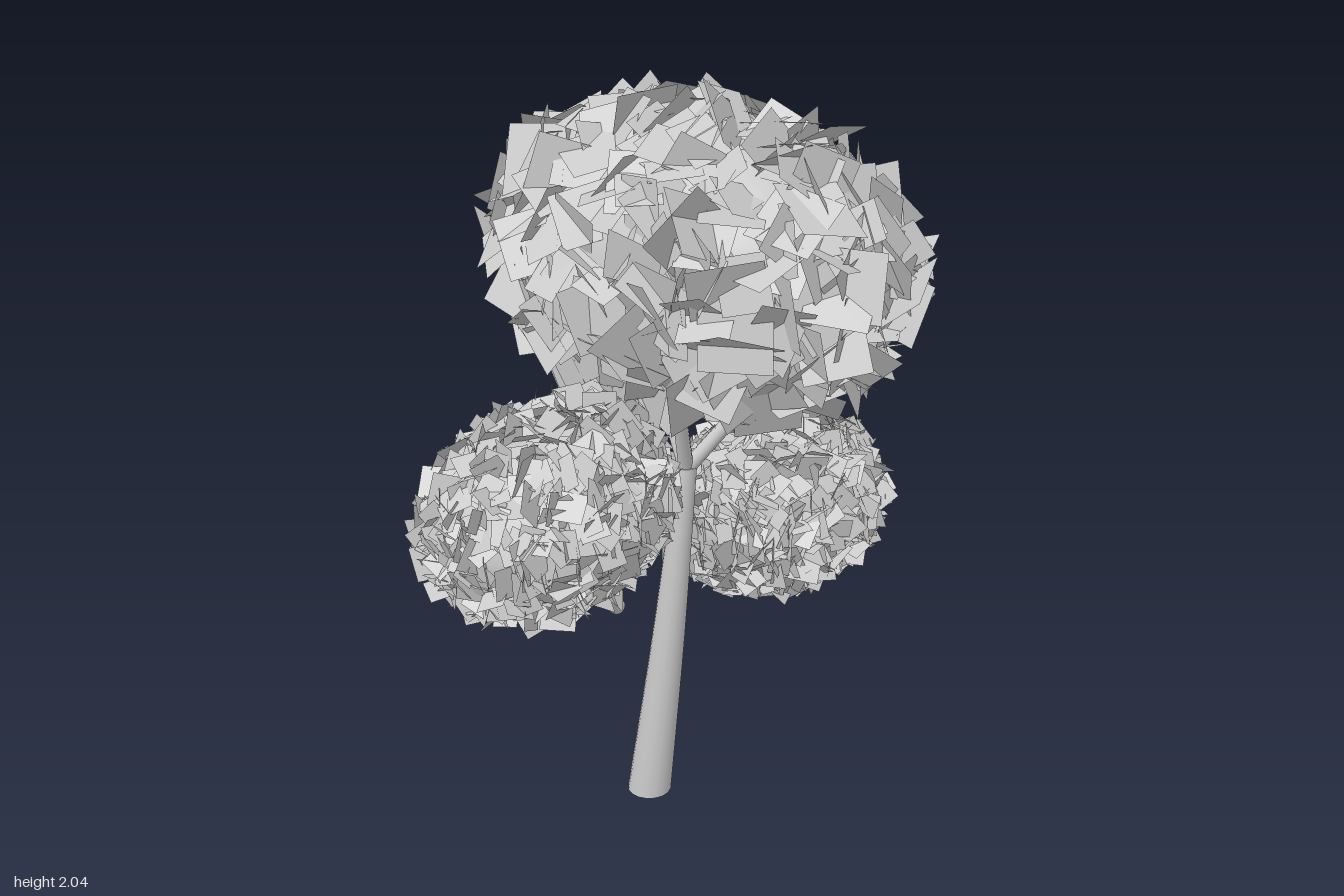
import * as THREE from 'three';
import { mergeGeometries } from 'three/addons/utils/BufferGeometryUtils.js';

const bark = new THREE.MeshStandardMaterial({ color: 0xcccccc });
const leafMaterial = new THREE.MeshStandardMaterial({ color: 0xcccccc, side: THREE.DoubleSide });

// Small seeded generator, 0..1
function seeded(seed) {
  return () => {
    seed = (seed * 1664525 + 1013904223) % 4294967296;
    return seed / 4294967296;
  };
}

// Trunk: a tapered cylinder whose rings slide along a gentle bend
function makeTrunk() {
  const height = 0.99;
  const geometry = new THREE.CylinderGeometry(0.028, 0.06, height, 16, 8);
  geometry.translate(0, height / 2, 0);
  const bend = new THREE.CatmullRomCurve3([
    new THREE.Vector3(-0.06, 0, 0.053),
    new THREE.Vector3(-0.015, 0.5, 0.02),
    new THREE.Vector3(0, height, -0.028),
  ]);
  const p = geometry.attributes.position;
  for (let i = 0; i < p.count; i++) {
    const c = bend.getPoint(THREE.MathUtils.clamp(p.getY(i) / height, 0, 1));
    p.setXYZ(i, p.getX(i) + c.x, p.getY(i), p.getZ(i) + c.z);
  }
  const mesh = new THREE.Mesh(geometry, bark);
  mesh.name = 'trunk';
  return mesh;
}

// Straight tapered branch between two points
function makeBranch(name, from, to, r0, r1) {
  const a = new THREE.Vector3(...from);
  const b = new THREE.Vector3(...to);
  const mesh = new THREE.Mesh(new THREE.CylinderGeometry(r1, r0, a.distanceTo(b), 12), bark);
  mesh.position.copy(a).add(b).multiplyScalar(0.5);
  mesh.quaternion.setFromUnitVectors(new THREE.Vector3(0, 1, 0), b.sub(a).normalize());
  mesh.name = name;
  return mesh;
}

// Foliage: leaf cards spread over an ellipsoid and tipped at random
function makeFoliage({ name, center, radii, rotation, count, size, tilt, seed }) {
  const rand = seeded(seed);
  const spread = () => (rand() + rand() - 1) * tilt;
  const R = new THREE.Vector3(...radii);
  const forward = new THREE.Vector3(0, 0, 1);
  const cards = [];
  for (let i = 0; i < count; i++) {
    // Even spiral over the sphere
    const y = 1 - (2 * (i + 0.5)) / count;
    const angle = i * 2.39996 + rand() * 0.6;
    const ring = Math.sqrt(1 - y * y);
    const dir = new THREE.Vector3(ring * Math.cos(angle), y, ring * Math.sin(angle));
    const normal = dir.clone().divide(R).normalize();
    const position = dir.multiply(R).multiplyScalar(0.9 + 0.1 * rand());
    const q = new THREE.Quaternion().setFromUnitVectors(forward, normal);
    q.multiply(new THREE.Quaternion().setFromEuler(
      new THREE.Euler(spread(), spread(), rand() * Math.PI * 2)));
    const w = size * (0.75 + 0.5 * rand());
    const card = new THREE.PlaneGeometry(w, w * (0.8 + 0.35 * rand()));
    card.applyQuaternion(q).translate(position.x, position.y, position.z);
    cards.push(card);
  }
  const group = new THREE.Group();
  group.name = name;
  const leaves = new THREE.Mesh(mergeGeometries(cards), leafMaterial);
  leaves.name = name + 'Leaves';
  // Solid heart behind the leaves
  const core = new THREE.Mesh(new THREE.SphereGeometry(1, 24, 16), leafMaterial);
  core.scale.copy(R).multiplyScalar(0.86);
  core.name = name + 'Core';
  group.add(leaves, core);
  group.position.set(...center);
  group.rotation.set(...rotation);
  return group;
}

export function createModel() {
  const tree = new THREE.Group();
  tree.name = 'tree';
  tree.add(makeTrunk());

  // Fork at the top of the trunk, plus the low front limb
  const fork = [0, 0.98, -0.028];
  tree.add(
    makeBranch('rearBranch', fork, [0.24, 1.45, -0.32], 0.02, 0.016),
    makeBranch('frontBranch', fork, [0.12, 1.42, 0.12], 0.02, 0.016),
    makeBranch('sideBranch', fork, [-0.22, 1.42, -0.02], 0.02, 0.016),
    makeBranch('lowFrontLimb', [0, 0.65, 0.2], [0.09, 0.93, 0.5], 0.022, 0.018),
  );

  tree.add(
    makeFoliage({
      name: 'crown', center: [-0.005, 1.555, -0.055], radii: [0.61, 0.39, 0.38],
      rotation: [0, 0.14, 0.09], count: 520, size: 0.15, tilt: 1.3, seed: 7,
    }),
    makeFoliage({
      name: 'frontCluster', center: [0.085, 1.05, 0.47], radii: [0.285, 0.235, 0.325],
      rotation: [0.28, 0.12, 0], count: 800, size: 0.07, tilt: 1.7, seed: 21,
    }),
    makeFoliage({
      name: 'rearCluster', center: [-0.125, 0.725, -0.445], radii: [0.27, 0.25, 0.345],
      rotation: [0, 0.08, 0], count: 800, size: 0.07, tilt: 1.7, seed: 43,
    }),
  );
  return tree;
}
